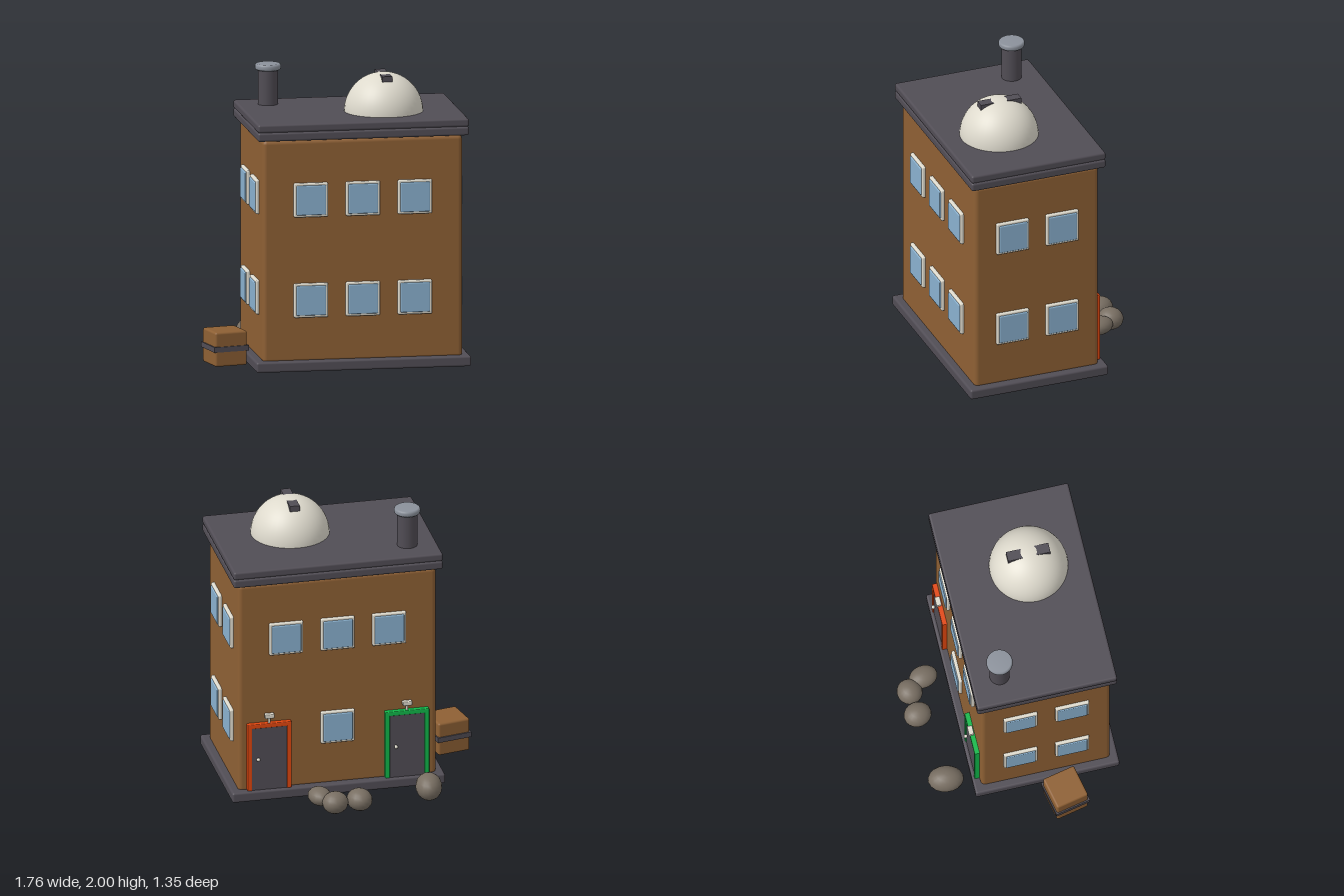
import * as THREE from 'three';
import { RoundedBoxGeometry } from 'three/addons/geometries/RoundedBoxGeometry.js';

const mat = (name, color) => {
  const m = new THREE.MeshStandardMaterial({ color });
  m.name = name;
  return m;
};

export function createModel() {
  const brick = mat('brown wall', 0x8e6034);
  const slate = mat('dark slate', 0x514d55);
  const cream = mat('cream', 0xdedacd);
  const glass = mat('window blue', 0x8ab1cf);
  const steel = mat('grey metal', 0x8b919b);
  const stone = mat('stone', 0x786e62);
  const red = mat('red paint', 0xe2470f);
  const green = mat('green paint', 0x10b84a);

  const model = new THREE.Group();
  model.name = 'building';
  const CX = 0.142, CZ = 0.176; // building centre
  const W = 1.367, D = 0.895;   // wall width and depth

  const add = (parent, name, geometry, material, x, y, z) => {
    const mesh = new THREE.Mesh(geometry, material);
    mesh.name = name;
    mesh.position.set(x, y, z);
    parent.add(mesh);
    return mesh;
  };
  const rbox = (w, h, d, r) => new RoundedBoxGeometry(w, h, d, 3, r);

  // Plinth, walls and stepped roof
  add(model, 'plinth', rbox(1.472, 0.072, 0.997, 0.015), slate, CX, 0.056, CZ);
  add(model, 'walls', rbox(W, 1.53, D, 0.03), brick, CX, 0.837, CZ);
  add(model, 'roofLower', rbox(1.446, 0.06, 0.969, 0.015), slate, CX, 1.632, CZ);
  add(model, 'roofUpper', rbox(1.446, 0.056, 0.969, 0.015), slate, CX, 1.69, CZ);

  // Dome with its slit cover
  add(model, 'dome', new THREE.SphereGeometry(0.267, 40, 16, 0, Math.PI * 2, 0, Math.PI / 2), cream, 0.348, 1.715, 0.265);
  add(model, 'domeSlit', new THREE.BoxGeometry(0.068, 0.04, 0.293), slate, 0.348, 1.956, 0.262);

  // Chimney pipe with rounded cap
  add(model, 'chimney', new THREE.CylinderGeometry(0.068, 0.068, 0.26, 28), slate, -0.378, 1.835, -0.108);
  const capProfile = [[0, 0], [0.078, 0], [0.086, 0.006], [0.089, 0.014], [0.089, 0.028], [0.086, 0.037], [0.078, 0.043], [0, 0.043]]
    .map(([r, y]) => new THREE.Vector2(r, y));
  add(model, 'chimneyCap', new THREE.LatheGeometry(capProfile, 28), steel, -0.378, 1.954, -0.108);

  // Windows: each is built facing +z, then turned to its wall
  const frameGeo = rbox(0.234, 0.234, 0.04, 0.01);
  const paneGeo = rbox(0.203, 0.203, 0.04, 0.008);
  const addWindow = (x, y, z, turn) => {
    const g = new THREE.Group();
    g.name = 'window';
    add(g, 'windowFrame', frameGeo, cream, 0, 0, 0.002);
    add(g, 'windowPane', paneGeo, glass, 0, 0, 0.01);
    g.position.set(x, y, z);
    g.rotation.y = turn;
    model.add(g);
  };
  for (const y of [0.502, 1.19]) {
    for (const i of [-1, 0, 1]) {
      addWindow(CX + i * 0.356, y, CZ + D / 2, 0);
      if (y > 1 || i === 0) addWindow(CX + i * 0.356, y, CZ - D / 2, Math.PI);
    }
    for (const s of [-1, 1]) {
      for (const dz of [-0.179, 0.179]) addWindow(CX + s * W / 2, y, CZ + dz, s * Math.PI / 2);
    }
  }

  // Back doors: painted frame, dark leaf, knob and lamp above
  const addDoor = (x, paint) => {
    const g = new THREE.Group();
    g.name = 'door';
    for (const s of [-1, 1]) add(g, 'doorJamb', rbox(0.032, 0.49, 0.06, 0.006), paint, s * 0.136, 0.335, 0.004);
    add(g, 'doorLintel', rbox(0.304, 0.032, 0.06, 0.006), paint, 0, 0.564, 0.004);
    add(g, 'doorLeaf', new THREE.BoxGeometry(0.244, 0.46, 0.05), slate, 0, 0.32, 0.002);
    add(g, 'doorKnob', new THREE.SphereGeometry(0.013, 14, 10), cream, -0.08, 0.322, 0.042);
    add(g, 'lampStem', new THREE.CylinderGeometry(0.009, 0.009, 0.05, 12), cream, 0, 0.603, 0.016);
    add(g, 'lampHead', rbox(0.065, 0.03, 0.037, 0.006), cream, 0, 0.634, 0.027);
    g.position.set(x, 0, CZ - D / 2);
    g.rotation.y = Math.PI;
    model.add(g);
  };
  addDoor(0.617, red);
  addDoor(-0.335, green);

  // Strapped crate beside the building
  const crate = new THREE.Group();
  crate.name = 'crate';
  add(crate, 'crateBox', rbox(0.232, 0.235, 0.232, 0.015), brick, 0, 0.137, 0);
  add(crate, 'crateStrap', new THREE.BoxGeometry(0.25, 0.036, 0.25), slate, 0, 0.138, 0);
  crate.position.set(-0.738, 0, 0.264);
  crate.rotation.y = 0.21;
  model.add(crate);

  // Boulders behind the building: centre, radii, turn
  const rockGeo = new THREE.SphereGeometry(1, 18, 12);
  const rocks = [
    [-0.44, 0.092, -0.495, 0.09, 0.09, 0.122, -0.15],
    [0.057, 0.081, -0.573, 0.086, 0.075, 0.096, 0.2],
    [0.228, 0.081, -0.588, 0.09, 0.075, 0.086, 0.5],
    [0.309, 0.087, -0.475, 0.078, 0.06, 0.1, 0.2],
  ];
  for (const [x, y, z, rx, ry, rz, turn] of rocks) {
    const rock = add(model, 'boulder', rockGeo, stone, x, y, z);
    rock.scale.set(rx, ry, rz);
    rock.rotation.y = turn;
  }

  return model;
}
